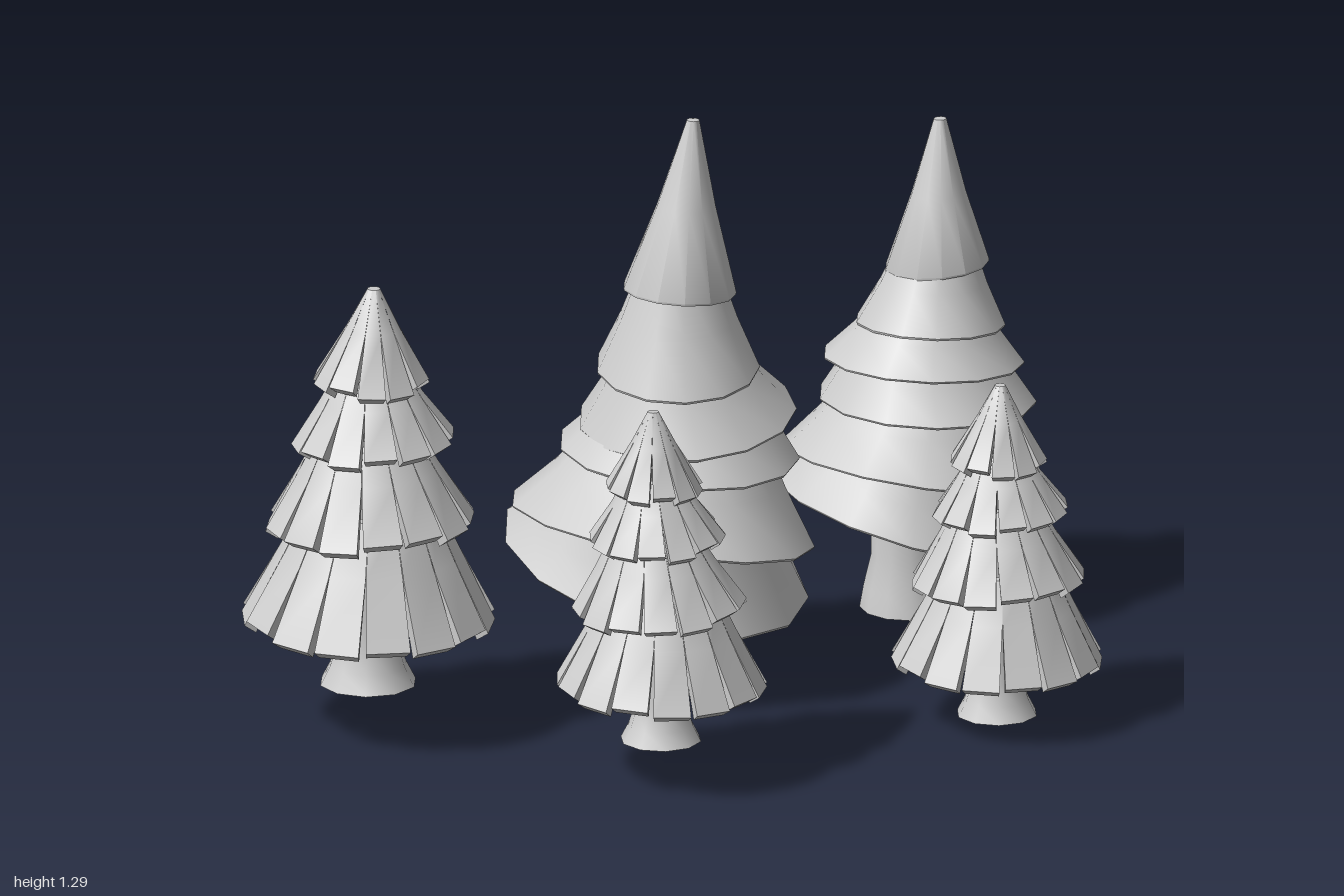
import * as THREE from 'three';
import { toCreasedNormals, mergeVertices } from 'three/addons/utils/BufferGeometryUtils.js';

const material = new THREE.MeshStandardMaterial({ color: 0xcccccc });
const openMaterial = new THREE.MeshStandardMaterial({ color: 0xcccccc, side: THREE.DoubleSide });

function addMesh(group, geometry, name, mat = material) {
  const mesh = new THREE.Mesh(toCreasedNormals(geometry, 0.68), mat);
  mesh.name = name;
  group.add(mesh);
  return mesh;
}

function lathe(points, sides) {
  const g = new THREE.LatheGeometry(points.map(([r, y]) => new THREE.Vector2(r, y)), sides);
  g.deleteAttribute('normal');
  g.deleteAttribute('uv');
  // drop the zero-area triangles at the poles
  const merged = mergeVertices(g, 1e-5);
  const ix = merged.index.array, keep = [];
  for (let i = 0; i < ix.length; i += 3) {
    const [a, b, c] = [ix[i], ix[i + 1], ix[i + 2]];
    if (a !== b && b !== c && c !== a) keep.push(a, b, c);
  }
  merged.setIndex(keep);
  return merged;
}

// Smooth conical skirt with a tilted rim; its top drifts sideways by lean
function skirt(r, topR, h, tilt, lean) {
  const g = lathe([[0, 0], [r * 0.99, 0], [r, 0.005],
    [THREE.MathUtils.lerp(r, topR, 0.54), h * 0.5], [topR, h], [0, h + 0.003]], 13);
  const p = g.attributes.position;
  for (let i = 0; i < p.count; i++) {
    const x = p.getX(i), y = p.getY(i), z = p.getZ(i), t = Math.min(y / h, 1);
    p.setXYZ(i, x + lean[0] * t, y + (x * tilt[0] + z * tilt[1]) * (1 - t * 0.7), z + lean[1] * t);
  }
  return g;
}

// tiers: [x, y, z, radius, tilt along x, tilt along z]
function smoothTree(name, trunk, tiers, tip) {
  const group = new THREE.Group();
  group.name = name;
  const [tx, ty, tz, r0, r1, th] = trunk;
  addMesh(group, lathe([[r0, 0], [r0 * 0.92, 0.05], [r1, 0.12], [r1, th]], 12), 'trunk', openMaterial)
    .position.set(tx, ty, tz);
  tiers.forEach(([x, y, z, r, sx, sz], i) => {
    const next = tiers[i + 1];
    const h = next ? next[1] - y + 0.06 : tip[1] - y;
    const topR = next ? Math.min(next[3] * 0.69, r * 0.75) : 0.014;
    const end = next || [tip[0], 0, tip[2]];
    addMesh(group, skirt(r, topR, h, [sx, sz], [end[0] - x, end[2] - z]), 'branchTier' + (i + 1))
      .position.set(x, y, z);
  });
  return group;
}

// Hollow skirt of thick panels, separated by slits that close towards the top
function slitSkirt(r, topR, h, n, lean, seed) {
  const pos = [];
  const quad = (a, b, c, d) => pos.push(...a, ...b, ...c, ...a, ...c, ...d);
  const half = Math.PI / n, thick = 0.022;
  for (let k = 0; k < n; k++) {
    const drop = Math.sin(k * 2.4 + seed) * 0.007;
    const levels = [[0, 0.86, r], [0.6, 0.985, THREE.MathUtils.lerp(r, topR, 0.59)], [1, 1, topR]];
    const rings = levels.map(([t, w, ro], li) => {
      const ri = Math.max(ro - thick, 0.001);
      const y = t * h + (li === 0 ? drop : 0), yo = li === 0 ? y + 0.015 : y;
      return [[-1, ro, yo], [1, ro, yo], [1, ri, y], [-1, ri, y]].map(([s, rad, yy]) => {
        const a = (2 * k + s * w) * half;
        return [rad * Math.sin(a) + lean[0] * t, yy, rad * Math.cos(a) + lean[1] * t];
      });
    });
    for (let l = 0; l < 2; l++) {
      const lo = rings[l], up = rings[l + 1];
      for (let j = 0; j < 4; j++) {
        if (l === 1 && j % 2) continue;
        const m = (j + 1) % 4;
        quad(lo[j], lo[m], up[m], up[j]);
      }
    }
    quad(...[...rings[0]].reverse());
    quad(...rings[2]);
  }
  const g = new THREE.BufferGeometry();
  g.setAttribute('position', new THREE.Float32BufferAttribute(pos, 3));
  return g;
}

function slitTree(name) {
  const group = new THREE.Group();
  group.name = name;
  addMesh(group, lathe([[0.09, 0], [0.072, 0.035], [0.058, 0.08], [0.052, 0.14],
    [0.05, 0.4]], 10), 'trunk', openMaterial);
  // tiers: x, y, z, radius, top radius, height, panel count
  const tiers = [
    [0, 0.115, 0, 0.232, 0.12, 0.23, 15],
    [0.008, 0.293, -0.005, 0.192, 0.088, 0.19, 14],
    [0.02, 0.445, -0.012, 0.15, 0.058, 0.155, 13],
    [0.02, 0.56, -0.02, 0.107, 0.012, 0.185, 11],
  ];
  tiers.forEach(([x, y, z, r, topR, h, n], i) => {
    const mesh = addMesh(group, slitSkirt(r, topR, h, n, [0.008, -0.007], i * 1.7), 'branchTier' + (i + 1));
    mesh.position.set(x, y, z);
    mesh.rotation.z = [0, 0.03, 0.04, 0][i];
    mesh.rotation.x = [0.03, -0.04, -0.03, 0.02][i];
  });
  return group;
}

export function createModel() {
  const model = new THREE.Group();
  model.name = 'treeGroup';

  // Two tall trees with smooth tilted skirts
  model.add(smoothTree('tallTree', [-0.012, 0, -0.228, 0.128, 0.095, 0.36], [
    [0, 0.258, -0.268, 0.336, -0.12, -0.26],
    [-0.018, 0.365, -0.215, 0.335, -0.2, 0],
    [0.03, 0.525, -0.22, 0.265, -0.05, -0.06],
    [0.05, 0.605, -0.215, 0.24, 0.12, -0.08],
    [0.018, 0.725, -0.205, 0.18, 0.08, -0.14],
    [0.022, 0.9, -0.205, 0.125, -0.08, 0],
  ], [0.055, 1.29, -0.2]));
  model.add(smoothTree('mediumTree', [0.7, 0.015, -0.323, 0.108, 0.083, 0.32], [
    [0.69, 0.232, -0.345, 0.29, -0.29, -0.14],
    [0.715, 0.335, -0.33, 0.29, -0.22, 0.03],
    [0.755, 0.48, -0.333, 0.24, -0.05, 0],
    [0.75, 0.57, -0.342, 0.222, -0.08, 0.03],
    [0.757, 0.655, -0.325, 0.165, -0.08, 0.05],
    [0.778, 0.785, -0.33, 0.115, 0.06, 0.06],
  ], [0.79, 1.12, -0.335]));

  // Three small trees with slit skirts: [name, x, y, z, scale, turn]
  const small = [
    ['backSlitTree', -0.724, 0.105, -0.31, 1.2, 0],
    ['frontRightSlitTree', -0.37, 0.085, 0.32, 1, Math.PI / 4],
    ['frontLeftSlitTree', 0.457, 0.015, 0.4, 1, 0.1],
  ];
  for (const [name, x, y, z, s, turn] of small) {
    const tree = slitTree(name);
    tree.position.set(x, y, z);
    tree.scale.setScalar(s);
    tree.rotation.y = turn;
    model.add(tree);
  }
  return model;
}
